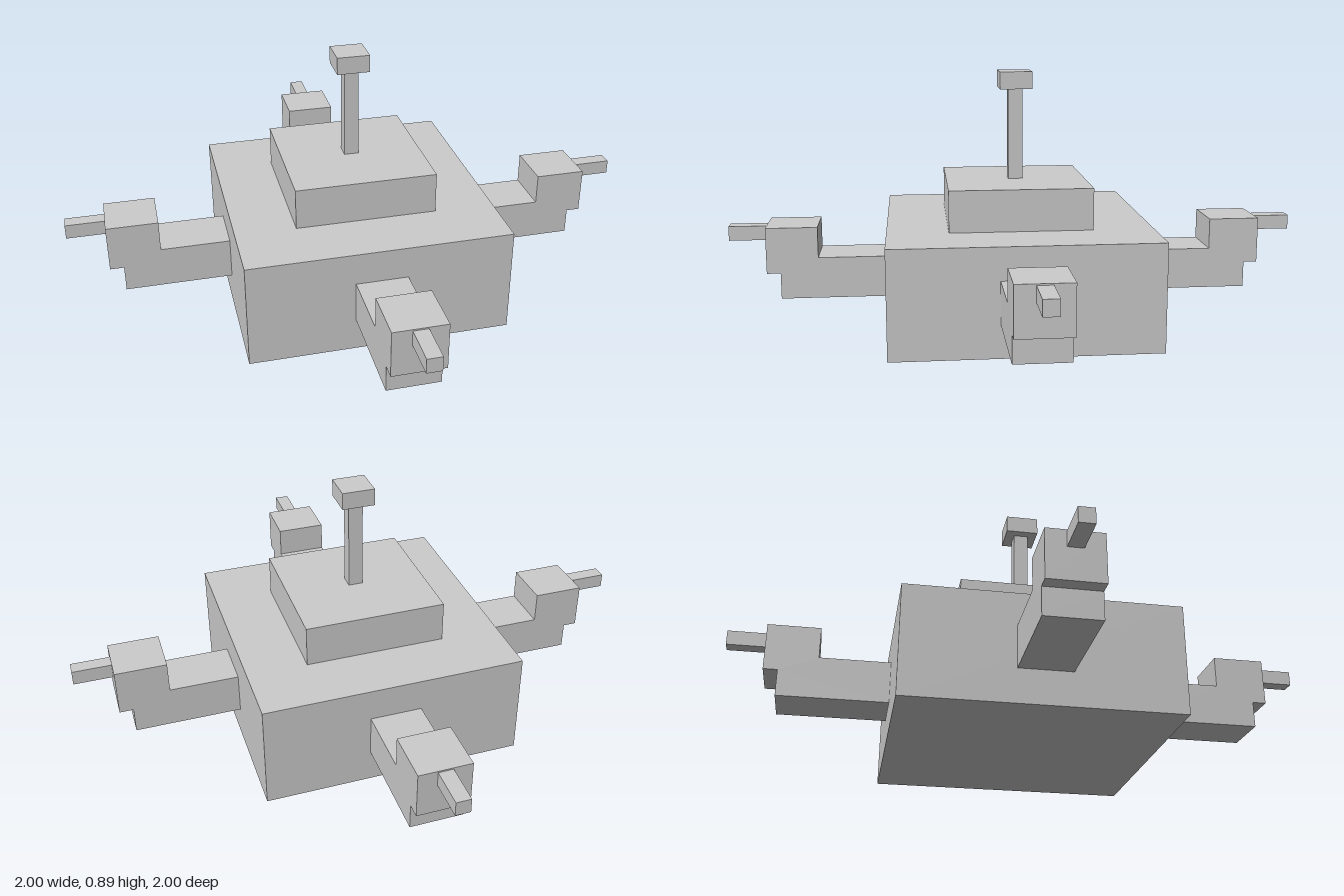
import * as THREE from 'three';

const material = new THREE.MeshStandardMaterial({ color: 0xcccccc, flatShading: true });

// Square block standing between two heights
function block(name, width, y0, y1) {
  const mesh = new THREE.Mesh(new THREE.BoxGeometry(width, y1 - y0, width), material);
  mesh.name = name;
  mesh.position.y = (y0 + y1) / 2;
  return mesh;
}

// Stepped arm reaching out along +x, with a thin barrel at its tip
function createArm() {
  const arm = new THREE.Group();
  const width = 0.178;
  const profile = new THREE.Shape([
    [0.45, 0.115], [0.82, 0.115], [0.82, 0.205], [0.867, 0.205],
    [0.867, 0.365], [0.69, 0.365], [0.69, 0.258], [0.45, 0.258],
  ].map(([x, y]) => new THREE.Vector2(x, y)));
  const geometry = new THREE.ExtrudeGeometry(profile, { depth: width, bevelEnabled: false });
  geometry.translate(0, 0, -width / 2);
  const bracket = new THREE.Mesh(geometry, material);
  bracket.name = 'armBracket';

  const barrel = new THREE.Mesh(new THREE.BoxGeometry(0.133, 0.05, 0.05), material);
  barrel.name = 'barrel';
  barrel.position.set(0.9335, 0.335, 0);
  arm.add(bracket, barrel);
  return arm;
}

export function createModel() {
  const model = new THREE.Group();
  model.name = 'fourArmedTurret';

  // Central stack: body, raised deck, mast and its cap
  model.add(
    block('body', 0.904, 0, 0.37),
    block('deck', 0.488, 0.37, 0.513),
    block('mast', 0.05, 0.513, 0.83),
    block('mastCap', 0.113, 0.83, 0.89),
  );

  // One arm on each side
  ['leftArm', 'backArm', 'rightArm', 'frontArm'].forEach((name, i) => {
    const arm = createArm();
    arm.name = name;
    arm.rotation.y = i * Math.PI / 2;
    model.add(arm);
  });

  return model;
}
